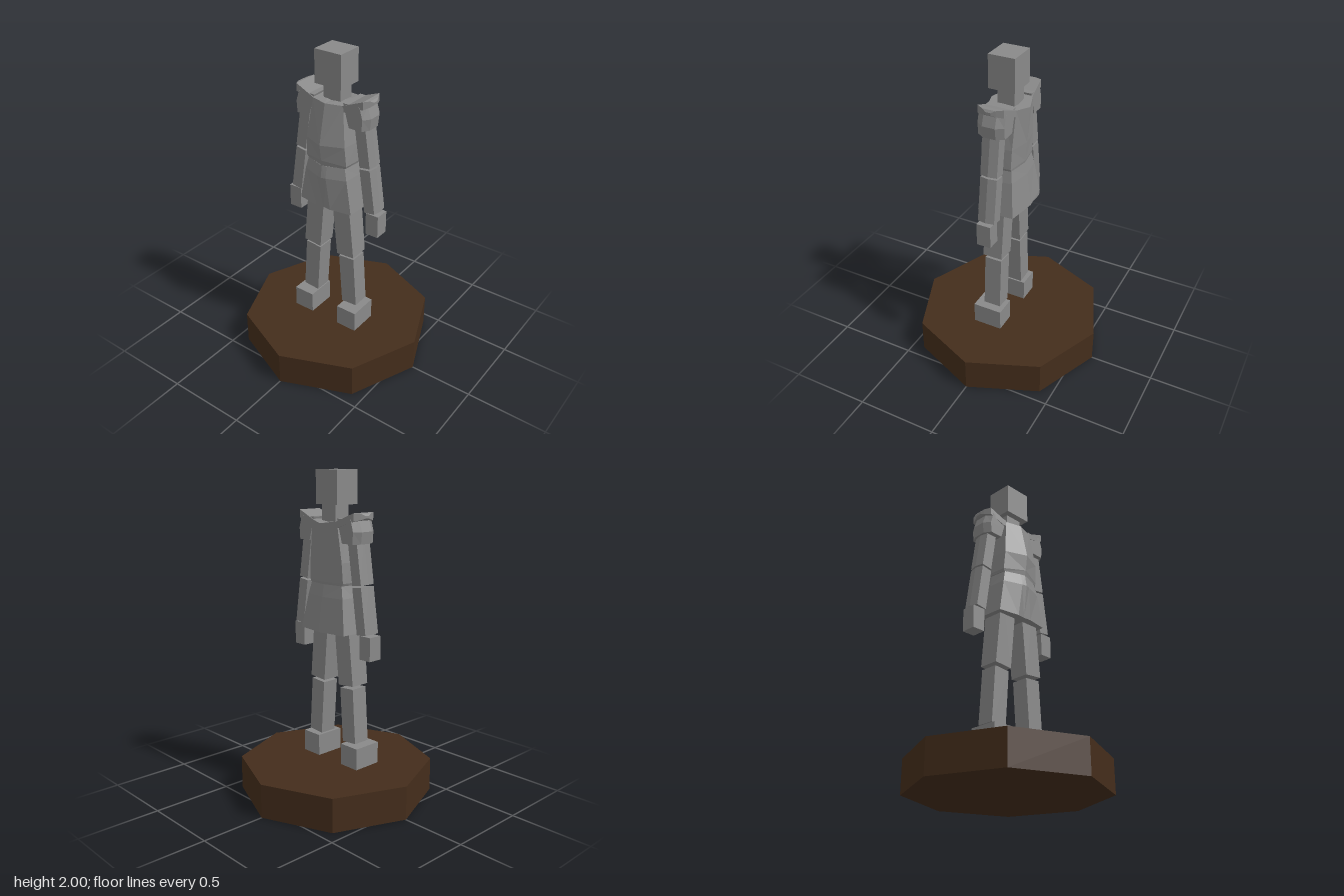
import * as THREE from 'three';

const grey = new THREE.MeshStandardMaterial({ color: 0x898989, flatShading: true });
const brown = new THREE.MeshStandardMaterial({ color: 0x442d1b, flatShading: true });

const gap = (a, b) => Math.hypot(a[0] - b[0], a[1] - b[1], a[2] - b[2]);

// Skins closed loops of [x, y, z] points and caps both ends; side -1 mirrors in x
function loft(name, loops, side = 1) {
  const pos = [];
  const tri = (a, b, c) => {
    for (const p of side > 0 ? [a, b, c] : [a, c, b]) pos.push(p[0] * side, p[1], p[2]);
  };
  const n = loops[0].length;
  for (let k = 0; k + 1 < loops.length; k++) {
    for (let i = 0; i < n; i++) {
      const j = (i + 1) % n;
      const a = loops[k][i], b = loops[k][j], c = loops[k + 1][j], d = loops[k + 1][i];
      // the shorter diagonal keeps both halves of the body symmetric
      if (gap(a, c) < gap(b, d)) {
        tri(a, b, c);
        tri(a, c, d);
      } else {
        tri(a, b, d);
        tri(b, c, d);
      }
    }
  }
  const first = loops[0], last = loops[loops.length - 1];
  for (let i = 1; i + 1 < n; i++) {
    tri(first[0], first[i + 1], first[i]);
    tri(last[0], last[i], last[i + 1]);
  }
  const geo = new THREE.BufferGeometry();
  geo.setAttribute('position', new THREE.Float32BufferAttribute(pos, 3));
  geo.computeVertexNormals();
  const mesh = new THREE.Mesh(geo, grey);
  mesh.name = name;
  return mesh;
}

// Symmetric body slice from [x, z, lift] points running front to back
const slice = (y, half) => [
  ...half.map(([x, z, lift = 0]) => [x, y + lift, z]),
  ...half.slice(1, -1).reverse().map(([x, z, lift = 0]) => [-x, y + lift, z]),
];
// Rectangular loop, raised towards its outer edge by tilt
const rect = (y, x0, x1, z0, z1, tilt = 0) =>
  [[x0, y, z1], [x1, y + tilt, z1], [x1, y + tilt, z0], [x0, y, z0]];
// Six-sided arm loop, square to the leaning arm
const hex = (y, cx) =>
  [[-0.035, 0.053], [0.035, 0.053], [0.046, 0], [0.035, -0.053], [-0.035, -0.053], [-0.046, 0]]
    .map(([x, z]) => [cx + x, y + x * 0.14, z]);
// Upright loop across x for the shoulder wing
const cross = (x, y0, y1, d) => [[x, y0, d], [x, y0, -d], [x, y1, -d], [x, y1, d]];
// Six-sided loop for the shoulder cap
const cap = (y, x0, x1, x2) => [[x0, y, 0.083], [x1, y, 0.083], [x2, y, 0.04],
  [x2, y, -0.04], [x1, y, -0.083], [x0, y, -0.083]];
const block = (name, x0, x1, y0, y1, z0, z1, side) =>
  loft(name, [rect(y0, x0, x1, z0, z1), rect(y1, x0, x1, z0, z1)], side);

export function createModel() {
  const model = new THREE.Group();
  model.name = 'figureOnBase';

  // Octagonal base
  const base = new THREE.Mesh(new THREE.CylinderGeometry(0.6, 0.6, 0.21, 8), brown);
  base.name = 'base';
  base.position.y = 0.105;
  model.add(base);

  // Head and neck
  model.add(block('head', -0.09, 0.09, 1.8, 2, -0.075, 0.09));
  model.add(block('neck', -0.058, 0.058, 1.69, 1.8, -0.055, 0.05));

  // Chest with a central ridge front and back
  model.add(loft('torso', [
    slice(1.335, [[0, 0.15], [0.135, 0.105], [0.145, 0], [0.135, -0.075], [0, -0.097]]),
    slice(1.35, [[0, 0.157, 0.02], [0.142, 0.107], [0.15, 0], [0.142, -0.076], [0, -0.1]]),
    slice(1.47, [[0, 0.17], [0.135, 0.115], [0.145, 0], [0.135, -0.08], [0, -0.108]]),
    slice(1.71, [[0, 0.118], [0.105, 0.088], [0.11, 0], [0.105, -0.09], [0, -0.125, -0.015]]),
  ]));

  // Flared skirt of the coat, with a hollow fold between the legs
  model.add(loft('skirt', [
    slice(1.05, [[0, 0.138], [0.05, 0.142], [0.185, 0.12], [0.19, 0], [0.185, -0.11], [0, -0.138]]),
    slice(1.26, [[0, 0.162], [0.03, 0.156], [0.148, 0.113], [0.154, 0], [0.148, -0.086], [0, -0.11]]),
    slice(1.335, [[0, 0.15], [0.03, 0.143], [0.13, 0.105], [0.138, 0], [0.13, -0.075], [0, -0.097]]),
  ]));

  for (const side of [1, -1]) {
    const label = side > 0 ? 'left' : 'right';

    // Shoulder wing and sleeve cap
    model.add(loft(label + 'ShoulderWing', [
      cross(0.1, 1.67, 1.71, 0.09),
      cross(0.23, 1.715, 1.762, 0.08),
      cross(0.25, 1.722, 1.758, 0.04),
      cross(0.26, 1.73, 1.745, 0.015),
    ], side));
    model.add(loft(label + 'ShoulderCap', [
      cap(1.585, 0.14, 0.225, 0.252),
      cap(1.655, 0.12, 0.23, 0.26),
      cap(1.725, 0.1, 0.21, 0.235),
    ], side));

    // Arm
    model.add(loft(label + 'UpperArm', [hex(1.347, 0.231), hex(1.62, 0.19)], side));
    model.add(loft(label + 'Forearm', [hex(1.06, 0.271), hex(1.335, 0.231)], side));
    model.add(block(label + 'Hand', 0.245, 0.33, 0.91, 1.053, -0.04, 0.05, side));

    // Leg
    model.add(loft(label + 'Thigh', [
      rect(0.716, 0.065, 0.186, -0.035, 0.09, 0.01),
      rect(1.25, 0.015, 0.135, -0.04, 0.092),
    ], side));
    model.add(loft(label + 'Shin', [
      rect(0.357, 0.097, 0.204, -0.03, 0.08, 0.008),
      rect(0.698, 0.073, 0.181, -0.03, 0.08, 0.008),
    ], side));
    model.add(block(label + 'Foot', 0.1, 0.237, 0.21, 0.345, -0.05, 0.137, side));
  }
  return model;
}
